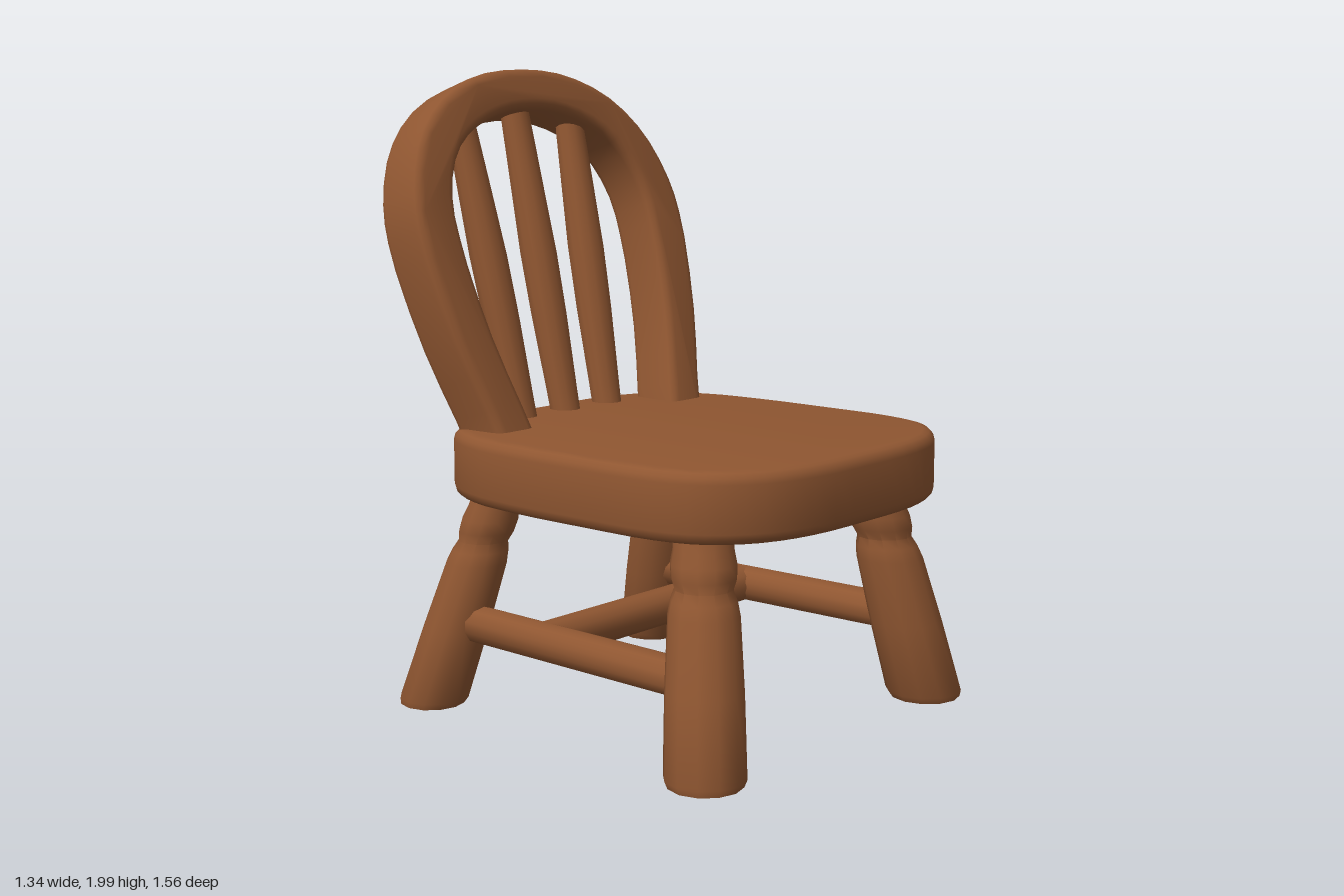
import * as THREE from 'three';
import { toCreasedNormals } from 'three/addons/utils/BufferGeometryUtils.js';

const wood = new THREE.MeshStandardMaterial({ color: 0x8f5631 });
wood.name = 'brown wood';

function part(name, geometry, crease = 0.8) {
  const mesh = new THREE.Mesh(toCreasedNormals(geometry, crease), wood);
  mesh.name = name;
  return mesh;
}

// Turned post with level ends: profile is [radius, height], the axis slants from one point to another
function turnedPost(name, profile, from, to) {
  const g = new THREE.LatheGeometry(profile.map(([r, y]) => new THREE.Vector2(r, y)), 12);
  const p = g.attributes.position;
  for (let i = 0; i < p.count; i++) {
    const t = (p.getY(i) - from[1]) / (to[1] - from[1]);
    p.setX(i, p.getX(i) + from[0] + (to[0] - from[0]) * t);
    p.setZ(i, p.getZ(i) + from[2] + (to[2] - from[2]) * t);
  }
  return part(name, g);
}

// Straight round bar between two points
function bar(name, radius, a, b) {
  const from = new THREE.Vector3(...a), to = new THREE.Vector3(...b);
  const dir = to.clone().sub(from);
  const mesh = part(name, new THREE.CylinderGeometry(radius, radius, dir.length(), 10));
  mesh.position.copy(from).add(to).multiplyScalar(0.5);
  mesh.quaternion.setFromUnitVectors(new THREE.Vector3(0, 1, 0), dir.normalize());
  return mesh;
}

// Mirrors a half outline (first and last points may lie on x = 0) and smooths it
function mirroredSpline(half, divisions, skipLast) {
  const other = half.map(([x, y]) => [-x, y]).reverse();
  const pts = [...half, ...other.slice(1, skipLast ? -1 : undefined)];
  const curve = new THREE.CatmullRomCurve3(
    pts.map(([x, y]) => new THREE.Vector3(x, y, 0)), skipLast, 'centripetal');
  return curve.getPoints(divisions).map(v => new THREE.Vector2(v.x, v.y));
}

function extruded(points, thickness, bevel) {
  return new THREE.ExtrudeGeometry(new THREE.Shape(points), {
    depth: thickness - 2 * bevel, bevelEnabled: true, bevelThickness: bevel,
    bevelSize: bevel, bevelOffset: -bevel, bevelSegments: 3, steps: 1,
  }).translate(0, 0, bevel);
}

export function createModel() {
  const chair = new THREE.Group();
  chair.name = 'chair';

  // Seat: thick board with rounded corners, narrower at the back
  const outline = mirroredSpline([
    [0, 0.78], [0.25, 0.77], [0.42, 0.72], [0.55, 0.61], [0.605, 0.46], [0.615, 0.2],
    [0.61, -0.1], [0.58, -0.3], [0.49, -0.46], [0.28, -0.55], [0, -0.56],
  ], 60, true);
  outline.pop();
  const seat = part('seat', extruded(outline, 0.21, 0.035).rotateX(Math.PI / 2));
  seat.position.y = 0.89;
  chair.add(seat);

  // Splayed legs with a turned neck near the top
  const legProfile = k => [
    [0, 0], [0.112, 0], [0.121, 0.02], [0.116, 0.25], [0.106, 0.46], [0.098, 0.5],
    [0.086, 0.53], [0.096, 0.56], [0.098, 0.6], [0.09, 0.64], [0.09, 0.72],
  ].map(([r, y]) => [r * k, y]);
  for (const s of [1, -1]) {
    chair.add(turnedPost('frontLeg', legProfile(1), [s * 0.555, 0, 0.615], [s * 0.415, 0.7, 0.49]));
    chair.add(turnedPost('backLeg', legProfile(0.92), [s * 0.53, 0, -0.535], [s * 0.395, 0.7, -0.355]));
    chair.add(bar('sideStretcher', 0.06, [s * 0.5, 0.27, 0.54], [s * 0.475, 0.27, -0.45]));
  }
  chair.add(bar('crossStretcher', 0.06, [-0.48, 0.27, -0.08], [0.48, 0.27, -0.08]));

  // Hoop: bent bow leaning back, heights measured along its slope
  const lean = 0.31, baseY = 0.86;
  const onSlope = pts => pts.map(([x, y]) => [x, (y - baseY) / Math.cos(lean)]);
  const outer = mirroredSpline(onSlope([
    [0.475, 0.8], [0.49, 0.89], [0.565, 1.15], [0.61, 1.45], [0.595, 1.6], [0.52, 1.76],
    [0.39, 1.88], [0.2, 1.955], [0, 1.975],
  ]), 40, false);
  const inner = mirroredSpline(onSlope([
    [0.315, 0.8], [0.335, 0.89], [0.405, 1.15], [0.442, 1.42], [0.435, 1.58], [0.37, 1.71],
    [0.26, 1.79], [0.12, 1.835], [0, 1.845],
  ]), 40, false);
  const hoop = part('hoop', extruded([...outer, ...inner.reverse()], 0.18, 0.03).translate(0, 0, -0.09));
  hoop.rotation.x = -lean;
  hoop.position.set(0, baseY, -0.345);
  chair.add(hoop);

  // Spindles, swelling in the middle and fanning outward
  for (const s of [-1, 0, 1]) {
    const top = s ? 1.84 : 1.89;
    chair.add(turnedPost('spindle',
      [[0.05, 0.85], [0.052, 0.95], [0.06, 1.2], [0.062, 1.4], [0.056, 1.6], [0.048, top]],
      [s * 0.2, 0.85, -0.44], [s * 0.252, 1.84, -0.665]));
  }
  return chair;
}
